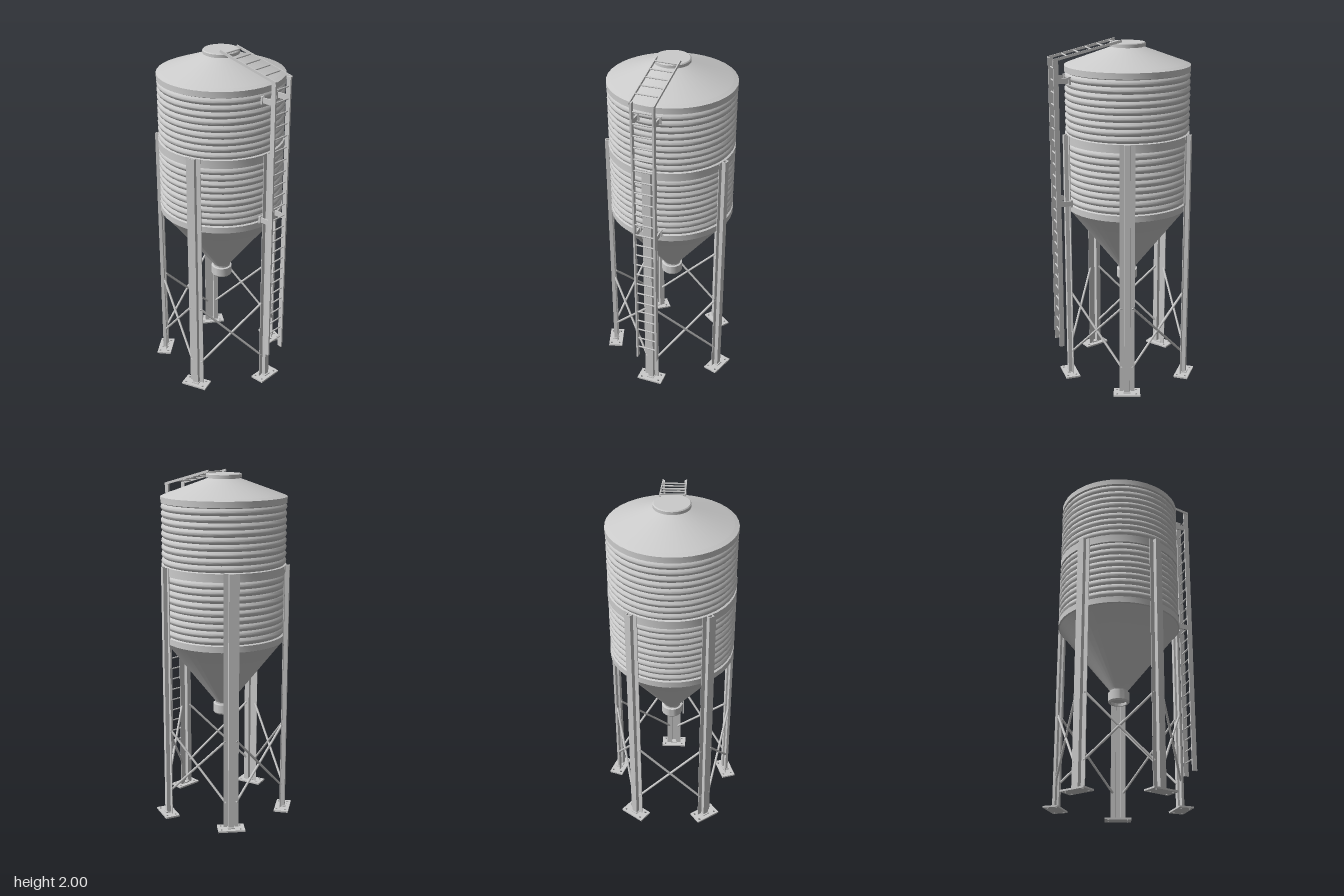
import * as THREE from 'three';
import { toCreasedNormals } from 'three/addons/utils/BufferGeometryUtils.js';

const grey = new THREE.MeshStandardMaterial({ color: 0xcccccc, side: THREE.DoubleSide });
const CX = -0.04; // silo axis
const R = 0.355; // silo radius
const LEGS = 5;

function add(parent, name, geometry, x = 0, y = 0, z = 0) {
  const mesh = new THREE.Mesh(geometry, grey);
  mesh.name = name;
  mesh.position.set(x, y, z);
  parent.add(mesh);
  return mesh;
}

function lathe(parent, name, points) {
  const profile = points.map(([r, y]) => new THREE.Vector2(r, y));
  return add(parent, name, toCreasedNormals(new THREE.LatheGeometry(profile, 40), 0.6));
}

// round bar between two points
function bar(parent, name, a, b, radius) {
  const dir = b.clone().sub(a);
  const mesh = add(parent, name, new THREE.CylinderGeometry(radius, radius, dir.length(), 8));
  mesh.position.copy(a).add(b).multiplyScalar(0.5);
  mesh.quaternion.setFromUnitVectors(new THREE.Vector3(0, 1, 0), dir.normalize());
  return mesh;
}

// rows of rounded corrugations from y0 to y1
function corrugations(y0, y1, count) {
  const points = [];
  const steps = 6;
  for (let i = 0; i <= count * steps; i++) {
    const t = i / steps;
    points.push([R - 0.011 + 0.01 * Math.abs(Math.sin(Math.PI * t)), y0 + ((y1 - y0) * t) / count]);
  }
  return points;
}

function createSilo() {
  const silo = new THREE.Group();
  silo.name = 'silo';
  lathe(silo, 'tank', [
    [R - 0.01, 1.04], [R, 1.045], [R, 1.08],
    ...corrugations(1.085, 1.43, 9),
    [R, 1.432], [R, 1.478],
    ...corrugations(1.482, 1.82, 9),
    [R, 1.825], [R, 1.858], [0.33, 1.868],
  ]);
  lathe(silo, 'roof', [[0.33, 1.868], [0.09, 1.955]]);
  lathe(silo, 'lid', [[0.088, 1.945], [0.088, 1.96], [0.101, 1.96], [0.101, 1.976], [0.096, 1.981], [0, 1.981]]);
  lathe(silo, 'hopper', [[0.05, 0.655], [0.055, 0.665], [R - 0.005, 1.045]]);
  lathe(silo, 'spout', [
    [0, 0.6], [0.045, 0.6], [0.045, 0.583], [0.054, 0.583], [0.061, 0.592],
    [0.061, 0.642], [0.05, 0.645], [0.05, 0.675],
  ]);
  return silo;
}

// hat-section post on a drilled base plate; local +x points away from the silo
function createLeg() {
  const leg = new THREE.Group();
  leg.name = 'leg';
  const half = [[0.354, 0.043], [0.354, 0.018], [0.376, 0.016]];
  const inner = [[0.372, 0.012], [0.350, 0.014], [0.350, 0.043]];
  const mirror = (pts) => pts.map(([x, y]) => [x, -y]).reverse();
  const outline = [...half, ...mirror(half), ...mirror(inner), ...inner];
  const section = new THREE.Shape(outline.map(([x, y]) => new THREE.Vector2(x, y)));
  const post = new THREE.ExtrudeGeometry(section, { depth: 1.47, bevelEnabled: false });
  add(leg, 'post', post.rotateX(-Math.PI / 2), 0, 0.01, 0);

  const plate = new THREE.Shape();
  plate.moveTo(0.32, -0.077).lineTo(0.405, -0.077).lineTo(0.405, 0.077).lineTo(0.32, 0.077).closePath();
  for (const x of [0.337, 0.388]) {
    for (const y of [-0.055, 0.055]) {
      plate.holes.push(new THREE.Path().absarc(x, y, 0.007, 0, Math.PI * 2, true));
    }
  }
  const plateGeometry = new THREE.ExtrudeGeometry(plate, { depth: 0.01, bevelEnabled: false, curveSegments: 6 });
  add(leg, 'basePlate', plateGeometry.rotateX(-Math.PI / 2));
  add(leg, 'footPad', new THREE.BoxGeometry(0.038, 0.006, 0.042), 0.365, 0.013, 0);
  return leg;
}

function createFrame() {
  const frame = new THREE.Group();
  frame.name = 'supportFrame';
  const step = (Math.PI * 2) / LEGS;
  // point beside a post, shifted along the tangent
  const anchor = (angle, shift, y) => new THREE.Vector3(
    0.352 * Math.cos(angle) - shift * Math.sin(angle), y,
    0.352 * Math.sin(angle) + shift * Math.cos(angle));
  for (let i = 0; i < LEGS; i++) {
    const a = i * step;
    const leg = createLeg();
    leg.rotation.y = -a;
    frame.add(leg);
    // crossed braces to the next leg
    bar(frame, 'brace', anchor(a, 0.03, 0.16), anchor(a + step, -0.03, 0.535), 0.007);
    bar(frame, 'brace', anchor(a, 0.03, 0.535), anchor(a + step, -0.03, 0.16), 0.007);
  }
  return frame;
}

function createLadder() {
  const ladder = new THREE.Group();
  ladder.name = 'ladder';
  const top = new THREE.Vector3(0.015, 1.993, 0);
  const eave = new THREE.Vector3(0.4, 1.902, 0);
  const slope = eave.clone().sub(top);
  for (const side of [-1, 1]) {
    const z = side * 0.06;
    add(ladder, 'rail', new THREE.BoxGeometry(0.028, 1.69, 0.01), 0.385, 1.06, z);
    const roofRail = add(ladder, 'roofRail', new THREE.BoxGeometry(slope.length(), 0.014, 0.006));
    roofRail.position.copy(top).add(eave).multiplyScalar(0.5).setZ(side * 0.066);
    roofRail.rotation.z = Math.atan2(slope.y, slope.x);
    // stand-off brackets with a foot plate on the tank
    for (const y of [1.095, 1.79]) {
      add(ladder, 'bracket', new THREE.BoxGeometry(0.075, 0.03, 0.008), 0.342, y, z);
      add(ladder, 'bracketFoot', new THREE.BoxGeometry(0.012, 0.042, 0.02), 0.31, y, z);
    }
  }
  const rung = (x, y) => bar(ladder, 'rung', new THREE.Vector3(x, y, -0.064), new THREE.Vector3(x, y, 0.064), 0.0045);
  for (let i = 0; i < 24; i++) rung(0.385, 0.29 + i * 0.068);
  for (let i = 0; i < 5; i++) {
    const x = 0.048 + i * 0.0675;
    rung(x, top.y + ((x - top.x) / slope.x) * slope.y);
  }
  return ladder;
}

export function createModel() {
  const model = new THREE.Group();
  model.name = 'feedSilo';
  const silo = createSilo();
  const frame = createFrame();
  silo.position.x = frame.position.x = CX;
  model.add(silo, frame, createLadder());
  return model;
}
